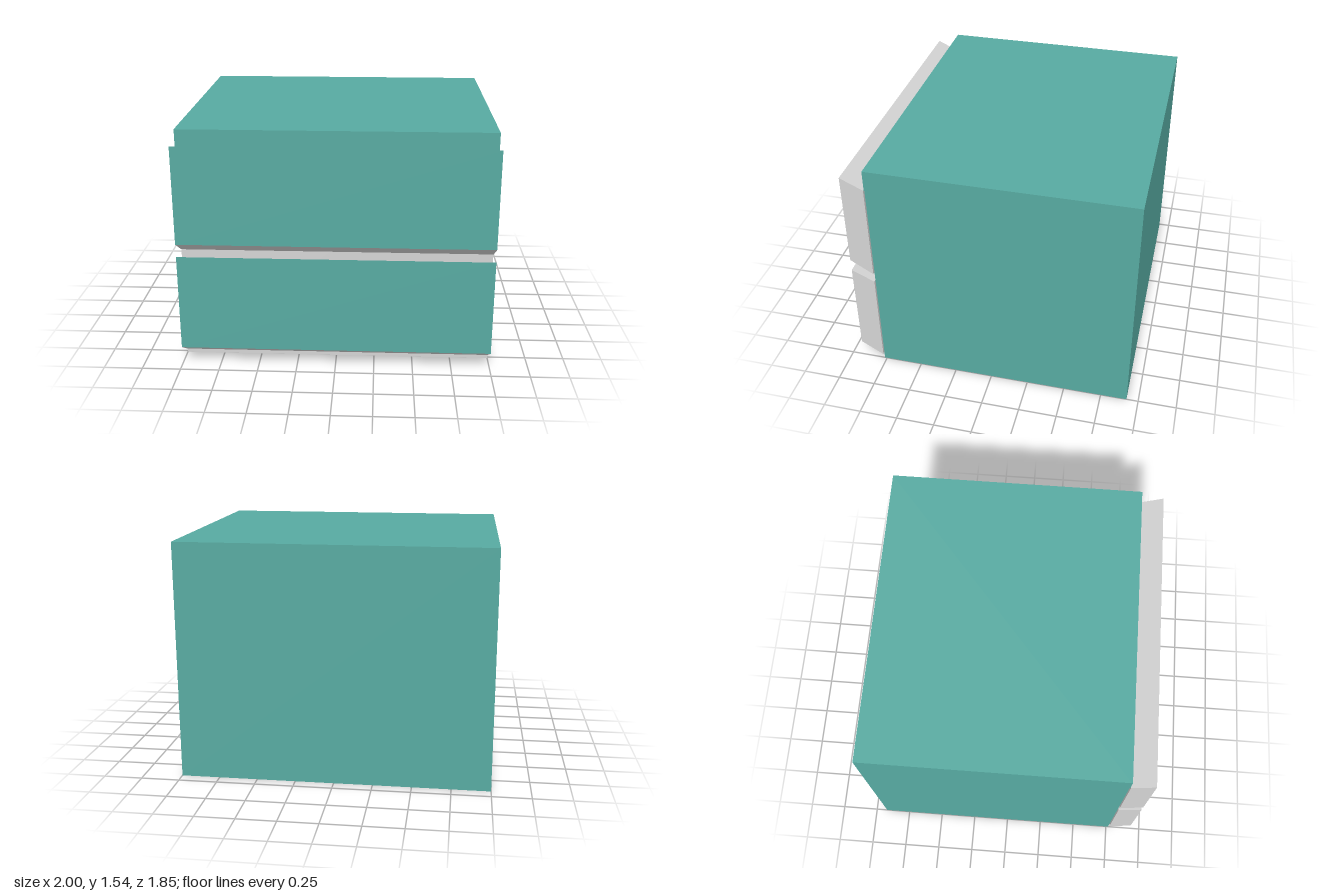
import * as THREE from 'three';

export function createModel() {
  const model = new THREE.Group();
  model.name = 'drawerCabinet';

  const teal = new THREE.MeshStandardMaterial({ color: 0x57aaa1 });
  teal.name = 'teal';
  const grey = new THREE.MeshStandardMaterial({ color: 0xd4d4d4 });
  grey.name = 'lightGrey';

  const add = (name, geometry, material, x, y, z) => {
    const mesh = new THREE.Mesh(geometry, material);
    mesh.name = name;
    mesh.position.set(x, y, z);
    model.add(mesh);
  };

  // Cabinet body: teal all round, with a grey front behind the drawers
  const height = 1.54, back = -0.923, front = 0.766;
  add('cabinetBody', new THREE.BoxGeometry(2, height, front - back),
    [teal, teal, teal, teal, grey, teal], 0, height / 2, (front + back) / 2);

  // Teal strip of the front above the upper drawer
  add('topRail', new THREE.BoxGeometry(2, 0.14, 0.004), teal, 0, height - 0.07, front + 0.002);

  // Drawer fronts: sheared slabs whose top and bottom rise towards the front
  const drawerBack = 0.775, drawerFront = 0.924;
  const drawerGeometry = () => {
    const geo = new THREE.BoxGeometry(2, 1, drawerFront - drawerBack);
    const p = geo.attributes.position;
    for (let i = 0; i < p.count; i++) {
      const isTop = p.getY(i) > 0, isFront = p.getZ(i) > 0;
      p.setY(i, isFront ? (isTop ? 0.725 : 0.09) : (isTop ? 0.655 : 0));
    }
    geo.computeVertexNormals();
    return geo;
  };
  [['lowerDrawer', 0.029], ['upperDrawer', 0.747]].forEach(([name, y]) =>
    add(name, drawerGeometry(), [grey, grey, grey, grey, teal, grey],
      0, y, (drawerBack + drawerFront) / 2));

  return model;
}
